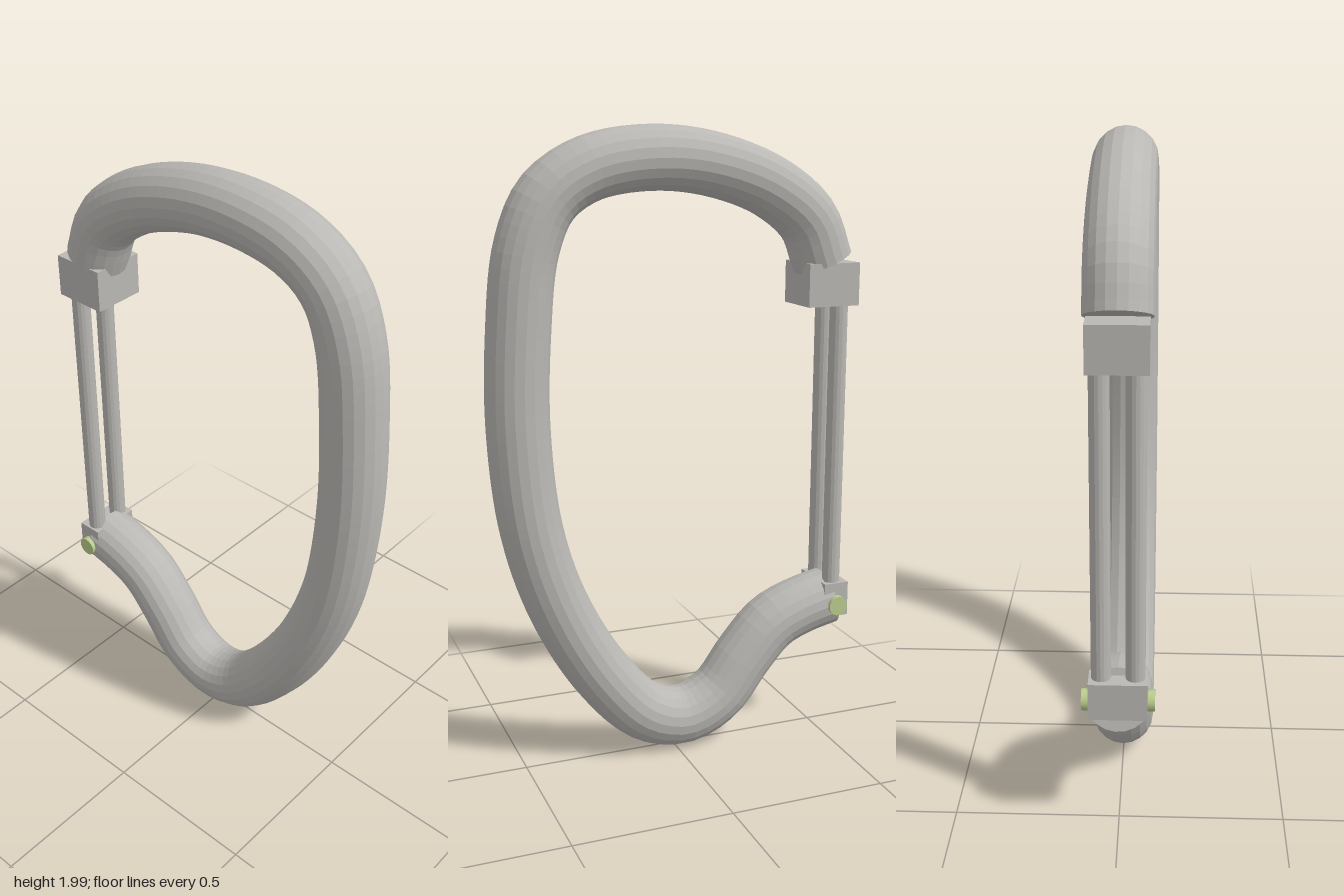
import * as THREE from 'three';

export function createModel() {
  const group = new THREE.Group();
  group.name = 'carabiner';
  const material = (name, color, flatShading = false) =>
    Object.assign(new THREE.MeshStandardMaterial({ color, flatShading }), { name });
  const metal = material('grey metal', 0xbab8b4, true);
  const pinGreen = material('pale green pin', 0xb9cc8c);

  const add = (name, geometry, mat, x = 0, y = 0, z = 0) => {
    const mesh = new THREE.Mesh(geometry, mat);
    mesh.name = name;
    mesh.position.set(x, y, z);
    group.add(mesh);
    return mesh;
  };

  // Bent bar: from the hinge, round the bottom, spine and top, to the nose
  const R = 0.097, SIDES = 20;
  const path = new THREE.CatmullRomCurve3([
    [-0.555, 0.45], [-0.45, 0.425], [-0.35, 0.38], [-0.255, 0.28], [-0.155, 0.155],
    [-0.03, 0.102], [0.1, 0.138], [0.24, 0.285], [0.375, 0.52], [0.46, 0.78],
    [0.495, 1.1], [0.487, 1.4], [0.455, 1.65], [0.39, 1.79], [0.27, 1.87],
    [0.08, 1.903], [-0.12, 1.885], [-0.32, 1.815], [-0.455, 1.71], [-0.51, 1.58],
  ].map(([x, y]) => new THREE.Vector3(x, y, 0)));
  add('bentBar', new THREE.TubeGeometry(path, 96, R, SIDES), metal);

  // Flat ends of the bar
  for (const [t, sign, name] of [[0, -1, 'hingeEnd'], [1, 1, 'noseEnd']]) {
    const p = path.getPoint(t);
    const cap = add(name, new THREE.CircleGeometry(R, SIDES), metal, p.x, p.y, 0);
    cap.quaternion.setFromUnitVectors(
      new THREE.Vector3(0, 0, 1), path.getTangent(t).multiplyScalar(sign));
  }

  // Gate: latch block, hinge block and two parallel rods between them
  add('latchBlock', new THREE.BoxGeometry(0.175, 0.135, 0.172), metal, -0.512, 1.512);
  add('hingeBlock', new THREE.BoxGeometry(0.085, 0.115, 0.172), metal, -0.552, 0.463);
  for (const z of [-0.05, 0.05])
    add('gateRod', new THREE.CylinderGeometry(0.029, 0.029, 1.0, 16), metal, -0.548, 0.98, z);

  // Hinge pin through the bar
  add('hingePin', new THREE.CylinderGeometry(0.032, 0.032, 0.214, 20).rotateX(Math.PI / 2),
    pinGreen, -0.55, 0.447);

  return group;
}
